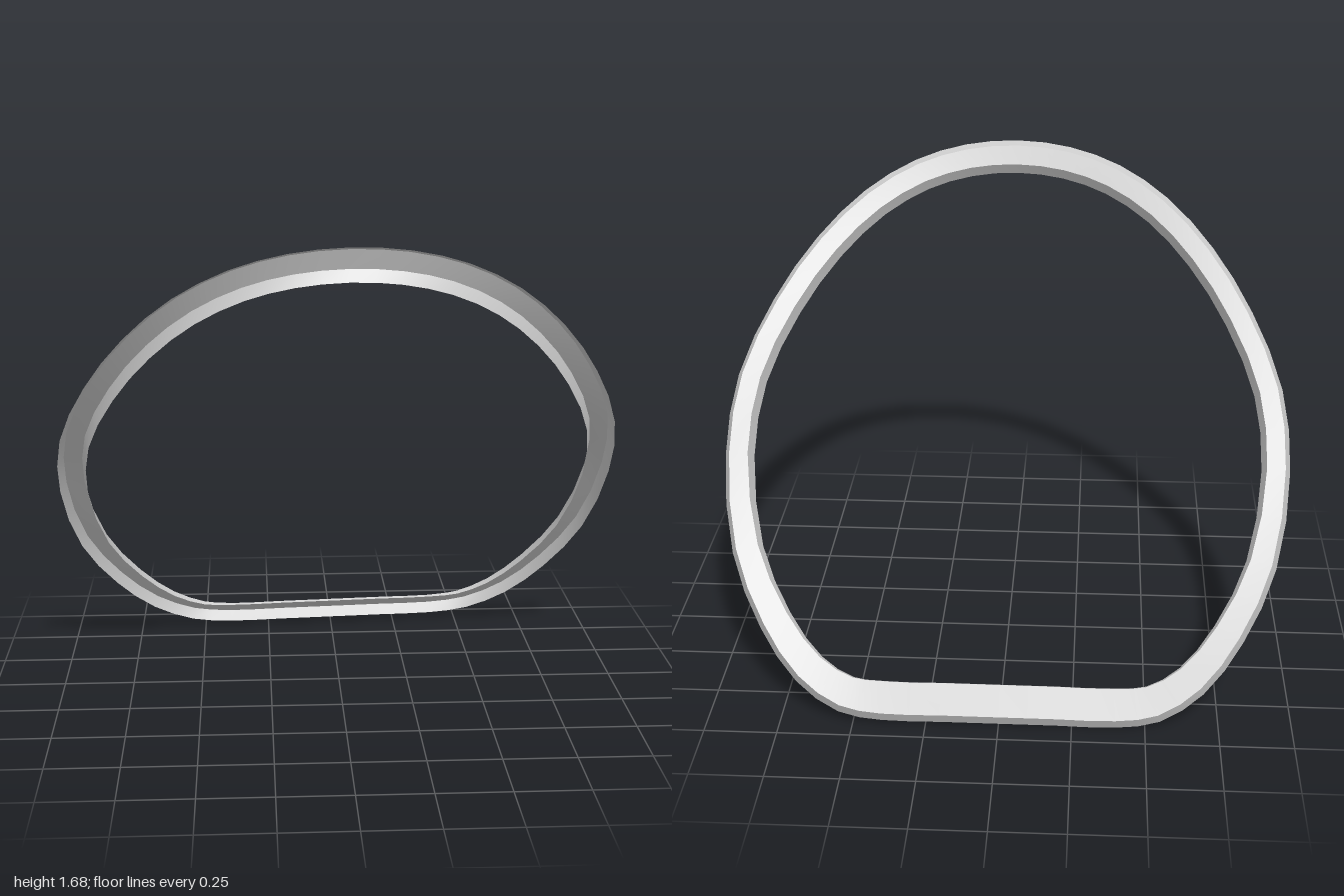
import * as THREE from 'three';

// Half outline of the outer rim in the ring's own tilted plane: (sideways, up the slope)
const HALF = [
  [0, 1.742], [0.195, 1.72], [0.38, 1.652], [0.56, 1.525], [0.725, 1.335], [0.868, 1.09], [0.975, 0.8],
  [1, 0.5], [0.95, 0.15], [0.835, -0.11], [0.7, -0.29], [0.55, -0.388], [0.4, -0.412], [0.2, -0.412], [0, -0.412],
];

// Channel section, outer lip to inner lip: (inset, depth) at the top, side and bottom of the ring.
// The inner wall fades out along the straight bottom.
const TOP = [[0, -0.526], [0.03, -0.547], [0.096, -0.525], [0.111, -0.481]];
const SIDE = [[0, -0.54], [0.02, -0.582], [0.085, -0.58], [0.1, -0.527]];
const BOTTOM = [[0, -0.526], [0.018, -0.565], [0.132, -0.527], [0.134, -0.517]];

function section(row, r) {
  const [end, t] = r > 0.5
    ? [TOP, ((r - 0.5) / 1.242) ** 1.5]
    : [BOTTOM, 1 - Math.sqrt(Math.max(0, (r + 0.412) / 0.912))];
  return [0, 1].map((k) => THREE.MathUtils.lerp(SIDE[row][k], end[row][k], t));
}

// Lean the ring forward, with a slight twist across its width
function place(x, r, n) {
  const depth = n - 0.03 * x;
  return [x, 0.776 * r - 0.63 * depth, 0.63 * r + 0.776 * depth];
}

export function createModel() {
  const group = new THREE.Group();
  group.name = 'ringChannel';

  // Mirror the half outline into a smooth closed loop, two steps per control point
  const mirrored = HALF.slice(1, -1).reverse().map(([x, r]) => [-x, r]);
  const controls = [...HALF, ...mirrored].map(([x, r]) => new THREE.Vector3(x, r, 0));
  const curve = new THREE.CatmullRomCurve3(controls, true);
  const loop = curve.getPoints(controls.length * 2).slice(0, -1);
  const count = loop.length;

  // One rail of the section, inset from the outline along its normal
  const rail = (row) => loop.map(({ x, y: r }, i) => {
    const dir = curve.getTangent(i / count);
    const [inset, depth] = section(row, r);
    return place(x + dir.y * inset, r - dir.x * inset, depth);
  });

  const material = new THREE.MeshStandardMaterial({ color: 0xcccccc, side: THREE.DoubleSide });

  // Three bands form a channel that is open to the front
  ['outerWall', 'backFace', 'innerWall'].forEach((name, row) => {
    const positions = [...rail(row), ...rail(row + 1)].flat();
    const index = [];
    for (let i = 0; i < count; i++) {
      const j = (i + 1) % count;
      index.push(i, j, count + i, j, count + j, count + i);
    }
    const geometry = new THREE.BufferGeometry();
    geometry.setAttribute('position', new THREE.Float32BufferAttribute(positions, 3));
    geometry.setIndex(index);
    geometry.computeVertexNormals();
    const mesh = new THREE.Mesh(geometry, material);
    mesh.name = name;
    group.add(mesh);
  });

  return group;
}
